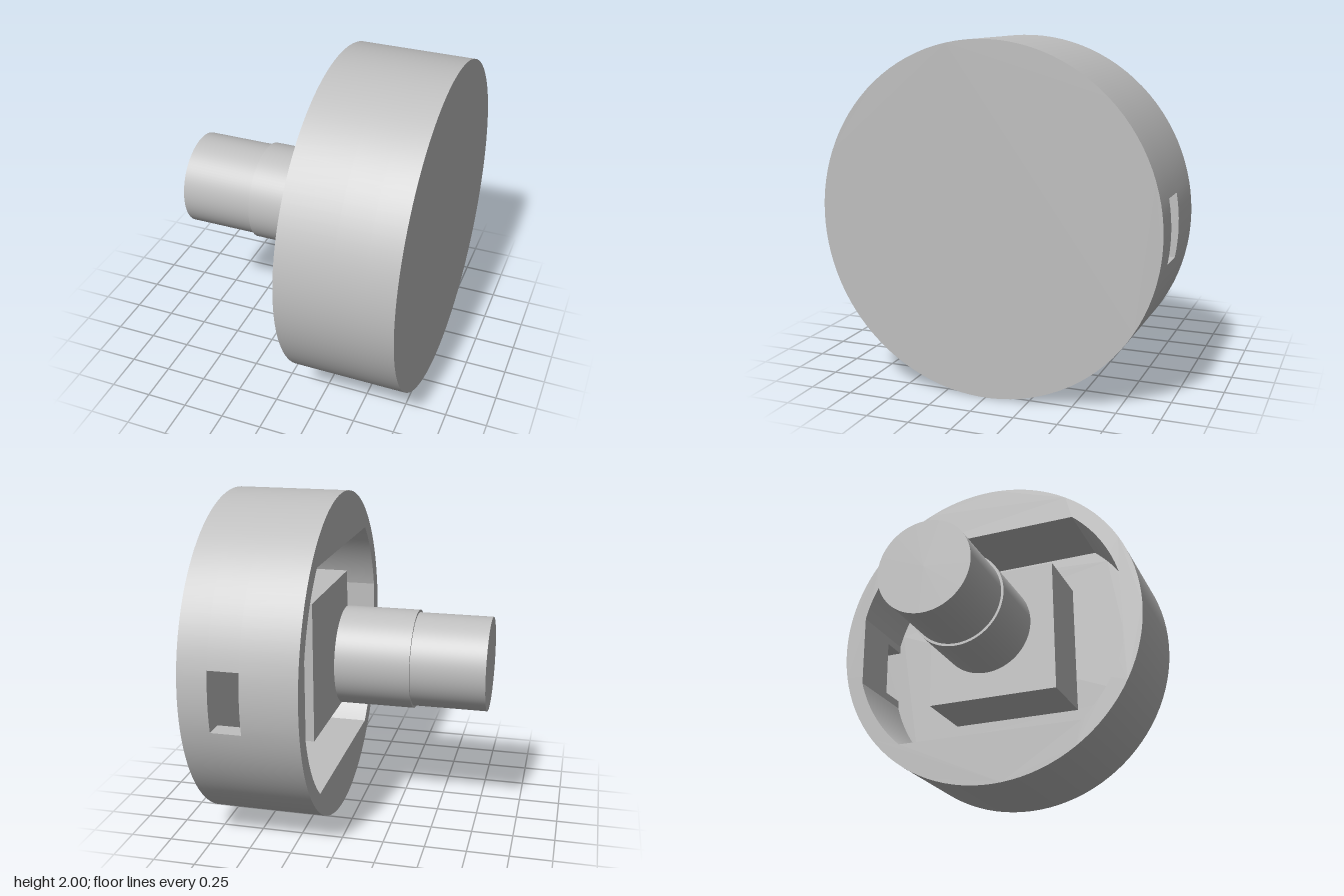
import * as THREE from 'three';
import { mergeGeometries, toCreasedNormals } from 'three/addons/utils/BufferGeometryUtils.js';

const FRONT = 0.795, RIM = 0.11, FLOOR = 0.62;   // housing stations along x
const WIN_X = 0.44, WIN_H = 0.18;                // side window: start and half height
const CAV_R = 0.9, CAV_W = 0.87, CAV_H = 0.68;   // cavity: circle cut by four flats

// Points are (z, y) pairs about the shaft axis
const arc = (r, a0, a1, n) => Array.from({ length: n + 1 }, (_, i) => {
  const a = a0 + (a1 - a0) * i / n;
  return new THREE.Vector2(r * Math.cos(a), r * Math.sin(a));
});

// Strip running along x through the given stations; skip(i, j) leaves a cell open
function wall(pts, stations, inward, closed = true, skip = () => false) {
  const pos = [];
  const count = closed ? pts.length : pts.length - 1;
  for (let i = 0; i < count; i++) {
    const p = pts[i], q = pts[(i + 1) % pts.length];
    for (let j = 0; j < stations.length - 1; j++) {
      if (skip(i, j)) continue;
      const a = [stations[j], p.y, p.x], b = [stations[j + 1], p.y, p.x];
      const c = [stations[j + 1], q.y, q.x], d = [stations[j], q.y, q.x];
      pos.push(...(inward ? [a, c, b, a, d, c] : [a, b, c, a, c, d]).flat());
    }
  }
  return new THREE.BufferGeometry().setAttribute('position', new THREE.Float32BufferAttribute(pos, 3));
}

// Flat face across the axis, facing -x, or +x when flipped
function face(pts, x, flip, hole) {
  const shape = new THREE.Shape(pts);
  if (hole) shape.holes.push(new THREE.Path(hole));
  const g = new THREE.ShapeGeometry(shape);
  g.rotateY(-Math.PI / 2).translate(x, 0, 0);
  if (flip) g.index.array.reverse();
  const flat = g.toNonIndexed();
  flat.deleteAttribute('normal');
  flat.deleteAttribute('uv');
  return flat;
}

function housingGeometry() {
  const PI = Math.PI, w = Math.asin(WIN_H);
  // Outer circle, starting with the window arc at the back
  const winArc = arc(1, PI - w, PI + w, 8);
  const outer = [...winArc, ...arc(1, PI + w, 3 * PI - w, 96).slice(1, -1)];
  // Cavity outline, starting with the window edge on the back flat
  const a1 = Math.acos(CAV_W / CAV_R), a2 = Math.asin(CAV_H / CAV_R);
  const winTop = new THREE.Vector2(-CAV_W, WIN_H), winBottom = new THREE.Vector2(-CAV_W, -WIN_H);
  const inner = [winTop, winBottom,
    ...arc(CAV_R, PI + a1, PI + a2, 14), ...arc(CAV_R, 2 * PI - a2, 2 * PI - a1, 14),
    ...arc(CAV_R, a1, a2, 14), ...arc(CAV_R, PI - a2, PI - a1, 14)];
  const winSide = [...winArc, winBottom, winTop];

  const parts = [
    wall(outer, [RIM, WIN_X, FLOOR, FRONT], false, true, (i, j) => i < 8 && j === 1),
    wall(inner, [RIM, WIN_X, FLOOR], true, true, (i, j) => i === 0 && j === 1),
    face(outer, RIM, false, inner),
    face(inner, FLOOR, false),
    face(outer, FRONT, true),
    // Window reveals
    face(winSide, WIN_X, true),
    face(winSide, FLOOR, false),
    wall([winArc[8], winBottom], [WIN_X, FLOOR], true, false),
    wall([winTop, winArc[0]], [WIN_X, FLOOR], true, false),
  ];
  return toCreasedNormals(mergeGeometries(parts), 0.2);
}

export function createModel() {
  const group = new THREE.Group();
  const grey = new THREE.MeshStandardMaterial({ color: 0xbfbfbf });
  grey.name = 'grey';

  const add = (name, geometry, x = 0) => {
    const mesh = new THREE.Mesh(geometry, grey);
    mesh.name = name;
    mesh.position.set(x, 1, 0);
    group.add(mesh);
  };
  const rod = (name, r, x0, x1) =>
    add(name, new THREE.CylinderGeometry(r, r, x1 - x0, 96).rotateZ(Math.PI / 2), (x0 + x1) / 2);

  // Round housing with a cavity and a side window
  add('housing', housingGeometry());
  // Square block standing on the cavity floor
  add('squareBlock', new THREE.BoxGeometry(FLOOR - 0.19, 0.85, 0.84), (FLOOR + 0.19) / 2);
  // Stepped shaft, held just clear of the housing
  rod('shaftCollar', 0.3, -0.355, 0.095);
  rod('shaftEnd', 0.285, -0.8, -0.355);

  return group;
}
